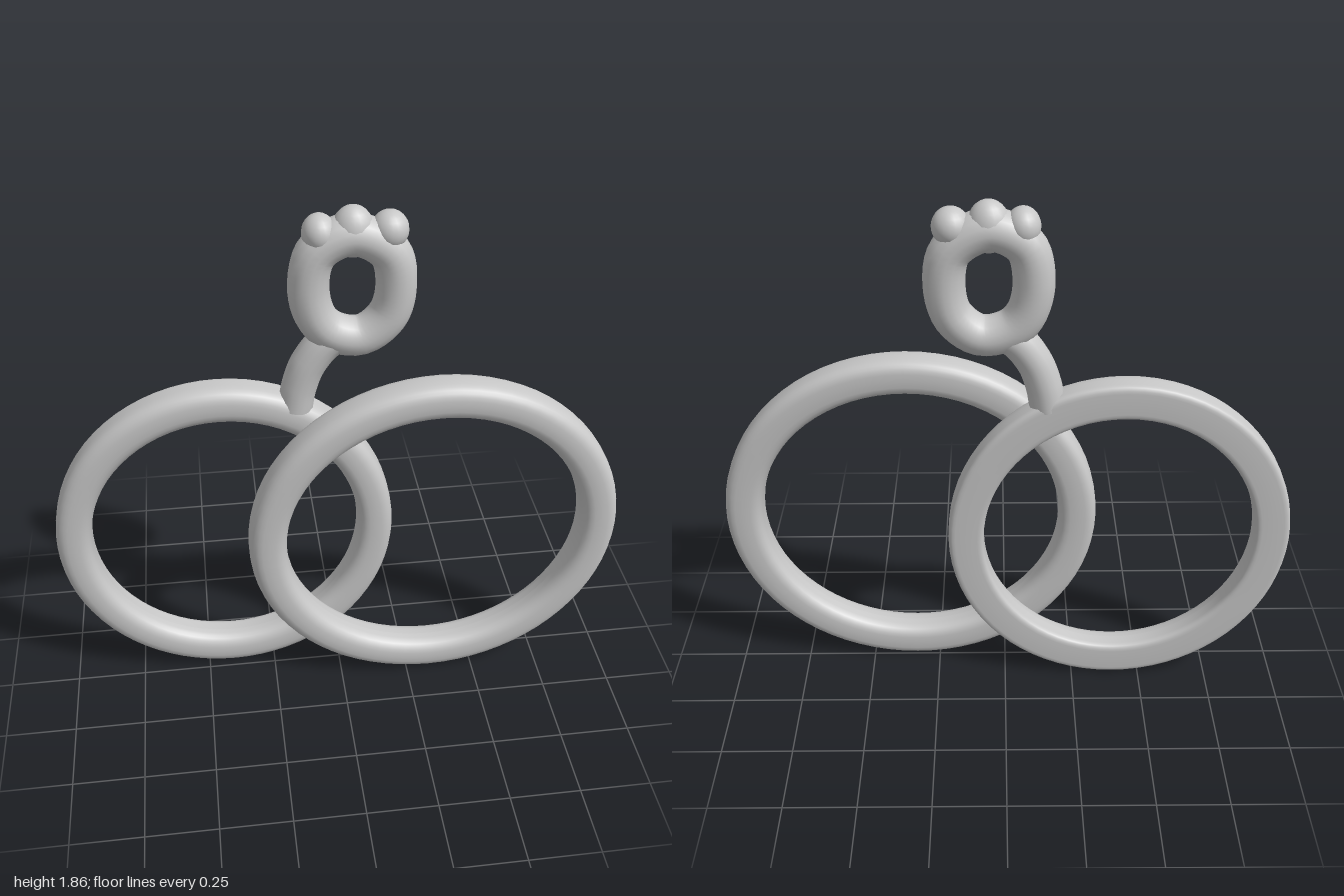
import * as THREE from 'three';

const silver = new THREE.MeshStandardMaterial({ color: 0xc8c8c8 });
silver.name = 'silver';

function add(group, name, geometry) {
  const mesh = new THREE.Mesh(geometry, silver);
  mesh.name = name;
  group.add(mesh);
  return mesh;
}

// Band with a rounded-square section; larger exponents flatten that side
function band(outerX, outerY, width, z0, z1, frontPower, backPower) {
  const points = [];
  const n = 28, mid = (z0 + z1) / 2, half = (z1 - z0) / 2;
  for (let i = 0; i <= n; i++) {
    const a = Math.PI + (i / n) * Math.PI * 2;
    const c = Math.cos(a), s = Math.sin(a);
    const p = 2 / (s > 0 ? frontPower : backPower);
    const u = Math.sign(c) * Math.abs(c) ** p;
    const v = Math.sign(s) * Math.abs(s) ** p;
    points.push(new THREE.Vector2(outerX - width / 2 + u * width / 2, mid + v * half));
  }
  const geometry = new THREE.LatheGeometry(points, 72);
  geometry.rotateX(Math.PI / 2);
  geometry.scale(1, outerY / outerX, 1);
  return geometry;
}

// Tube through [x, y, z] points
function strand(points, radius, closed = false) {
  const curve = new THREE.CatmullRomCurve3(points.map(p => new THREE.Vector3(...p)), closed);
  return new THREE.TubeGeometry(curve, 48, radius, 16, closed);
}

export function createModel() {
  const model = new THREE.Group();
  model.name = 'linkedRings';

  // Two large overlapping rings, the rear one flat at the back
  add(model, 'rearRing', band(0.6, 0.62, 0.125, -0.118, -0.003, 2.6, 6)).position.set(-0.4, 0.627, 0);
  add(model, 'frontRing', band(0.663, 0.638, 0.134, -0.015, 0.118, 2.7, 3.2)).position.set(0.336, 0.641, 0);

  // Small hanging loop and its stem
  const hanger = new THREE.Group();
  hanger.name = 'hanger';
  model.add(hanger);
  const z = -0.056;
  add(hanger, 'loop', strand([
    [-0.02, 1.43, z], [0.08, 1.408, z], [0.165, 1.475, z], [0.19, 1.59, z],
    [0.165, 1.70, z], [0.05, 1.765, z], [-0.06, 1.715, z], [-0.09, 1.60, z], [-0.07, 1.49, z],
  ], 0.067, true));
  add(hanger, 'stem', strand([
    [-0.14, 1.15, -0.06], [-0.125, 1.23, -0.06], [-0.09, 1.32, -0.058], [-0.02, 1.4, z], [0.06, 1.41, z],
  ], 0.06));

  // Flat lower end of the stem
  const cap = add(hanger, 'stemEnd', new THREE.CylinderGeometry(0.06, 0.06, 0.01, 16));
  cap.position.set(-0.14, 1.153, -0.06);
  cap.rotation.z = -0.15;

  // Rounded knobs along the top of the loop
  const knobs = [
    [-0.055, 1.775, 0.055, 0.062], [0.05, 1.775, 0.068, 0.085], [0.165, 1.775, 0.06, 0.062],
  ];
  for (const [x, y, rx, ry] of knobs) {
    const knob = add(hanger, 'knob', new THREE.SphereGeometry(1, 20, 14));
    knob.position.set(x, y, z);
    knob.scale.set(rx, ry, 0.062);
  }
  return model;
}
